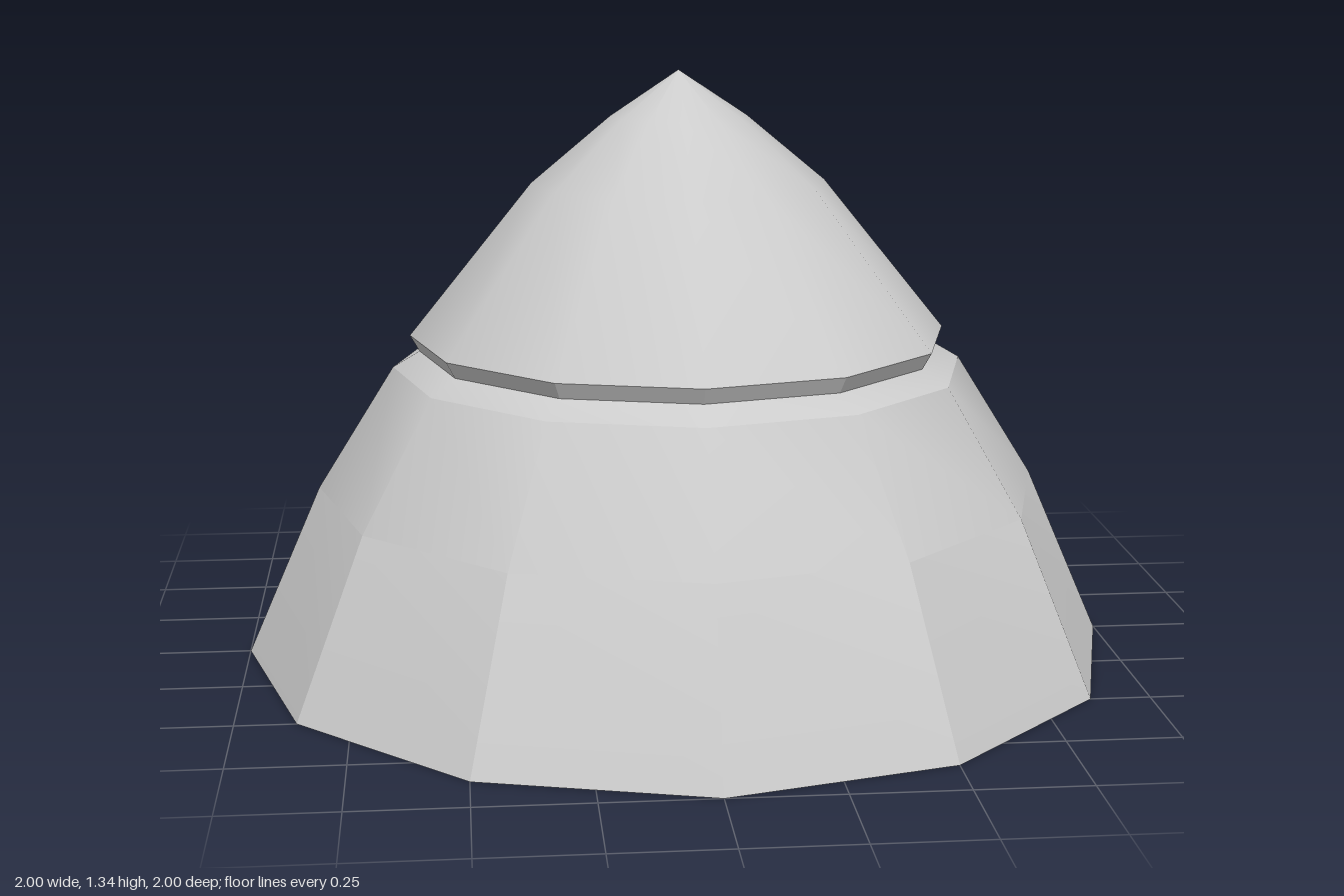
import * as THREE from 'three';
import { toCreasedNormals } from 'three/addons/utils/BufferGeometryUtils.js';

const SIDES = 12;

// Twelve-sided turned part; edges sharper than the crease angle stay hard
function turned(name, profile, creaseDegrees) {
  const points = profile.map(([r, y]) => new THREE.Vector2(r, y));
  const geometry = toCreasedNormals(
    new THREE.LatheGeometry(points, SIDES),
    THREE.MathUtils.degToRad(creaseDegrees)
  );
  const material = new THREE.MeshStandardMaterial({ color: 0xcccccc });
  const mesh = new THREE.Mesh(geometry, material);
  mesh.name = name;
  return mesh;
}

export function createModel() {
  const group = new THREE.Group();
  group.name = 'steppedCone';

  // Flared body with a closed floor, faceted below and softened at the shoulder
  group.add(turned('body', [[0, 0], [1, 0], [0.83, 0.39], [0.655, 0.67], [0.594, 0.706]], 27.3));

  // Undercut lip below the cap
  group.add(turned('lip', [[0.594, 0.706], [0.615, 0.743]], 10));

  // Smooth domed cap rising to a point
  group.add(turned('cap', [[0.615, 0.743], [0.335, 1.09], [0.155, 1.24], [0, 1.343]], 35));

  return group;
}
